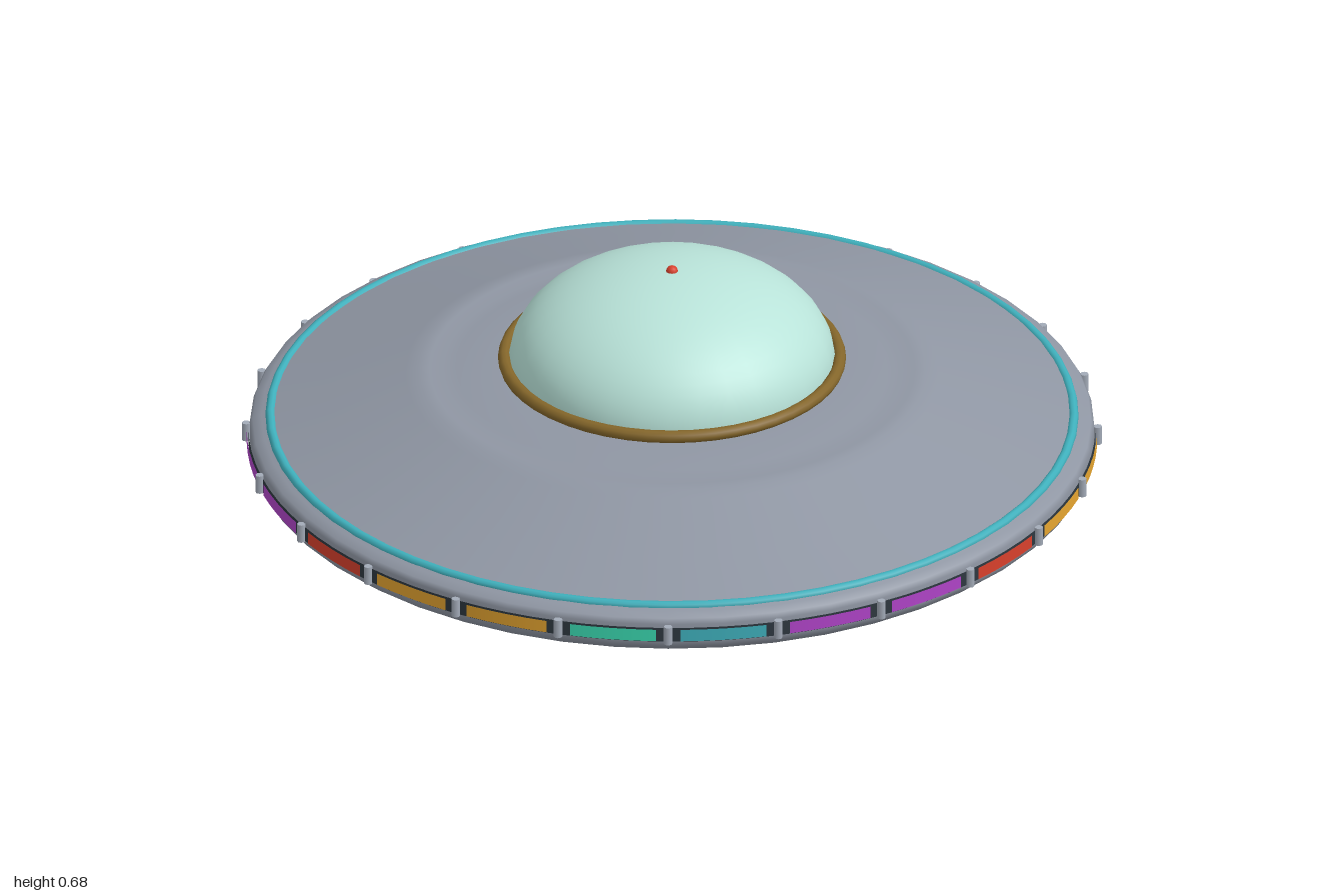
import * as THREE from 'three';

export function createModel() {
  const model = new THREE.Group();
  const paint = (name, color, side = THREE.FrontSide) =>
    Object.assign(new THREE.MeshStandardMaterial({ color, side }), { name });
  const hullGrey = paint('hull grey', 0x8f96a3);
  const metal = paint('light metal', 0xa3abb8);
  const mint = paint('mint dome', 0xb8e2d8);
  const bronze = paint('bronze', 0x84662a);
  const dark = paint('dark band', 0x2e3840);
  const red = paint('red', 0xd8402c);
  const orange = paint('orange', 0xe6a530);
  const green = paint('green', 0x3ad8b0);
  const cyan = paint('cyan', 0x3fb0bc);
  const purple = paint('purple', 0xb044c8);

  const add = (name, geometry, material, x = 0, y = 0, z = 0, parent = model) => {
    const mesh = new THREE.Mesh(geometry, material);
    mesh.name = name;
    mesh.position.set(x, y, z);
    parent.add(mesh);
    return mesh;
  };
  const lathe = (points, segments = 48) =>
    new THREE.LatheGeometry(points.map(([r, y]) => new THREE.Vector2(r, y)), segments);
  const ring = (radius, tube, segments = 48) =>
    new THREE.TorusGeometry(radius, tube, 10, segments).rotateX(Math.PI / 2);
  // angle in degrees, measured from +z towards +x
  const around = (deg, r) => {
    const a = THREE.MathUtils.degToRad(deg);
    return [r * Math.sin(a), r * Math.cos(a)];
  };

  // Saucer hull
  add('saucerHull', lathe([
    [0, 0.1], [0.3, 0.1], [0.48, 0.103], [0.62, 0.11], [0.74, 0.123], [0.84, 0.143],
    [0.91, 0.163], [0.955, 0.182], [0.975, 0.198], [0.982, 0.215], [0.982, 0.26],
    [0.975, 0.272], [0.955, 0.281], [0.93, 0.289], [0.8, 0.334], [0.62, 0.396],
    [0.59, 0.405], [0.565, 0.407], [0.535, 0.404], [0.5, 0.408], [0.4, 0.42], [0, 0.425],
  ]), hullGrey);
  add('topTrimRing', ring(0.934, 0.0115, 64), cyan, 0, 0.284);

  // Cockpit dome, collar and beacon
  const dome = add('cockpitDome',
    new THREE.SphereGeometry(0.38, 32, 16, 0, Math.PI * 2, 0, Math.PI / 2), mint, 0, 0.43);
  dome.scale.y = 0.235 / 0.38;
  add('domeCollar', ring(0.39, 0.015), bronze, 0, 0.437);
  add('beacon', new THREE.SphereGeometry(0.014, 12, 8), red, 0, 0.664);

  // Rim band with coloured windows between small posts
  add('rimBand', new THREE.CylinderGeometry(0.985, 0.985, 0.036, 96, 1, true), dark, 0, 0.235);
  const cycle = [red, orange, orange, green, cyan, purple, purple];
  const step = Math.PI / 12;
  for (let i = 0; i < 24; i++) {
    const start = Math.PI / 2 + (i + 0.11) * step;
    add('rimWindow', new THREE.CylinderGeometry(0.989, 0.989, 0.03, 4, 1, true, start, step * 0.78),
      cycle[i % 7], 0, 0.235);
    const [x, z] = around(i * 15, 0.99);
    add('rimPost', new THREE.CylinderGeometry(0.01, 0.01, 0.045, 8), metal, x, 0.237, z);
  }

  // Belly: flat skirt, rounded engine ring, inner ring and glowing lens
  add('bellySkirt', new THREE.CylinderGeometry(0.37, 0.37, 0.008, 48), cyan, 0, 0.099);
  add('engineRing', lathe([
    [0.19, 0.06], [0.215, 0.054], [0.25, 0.056], [0.275, 0.067], [0.285, 0.083], [0.28, 0.1],
  ]), cyan);
  add('lensRing', ring(0.203, 0.015), hullGrey, 0, 0.054);
  add('bellyLens', lathe([
    [0, 0.03], [0.07, 0.032], [0.13, 0.038], [0.175, 0.047], [0.195, 0.056],
  ], 40), green);

  // Underside lamps and rivets
  for (let i = 0; i < 12; i++) {
    const [lx, lz] = around(15 + i * 30, 0.68);
    add('undersideLamp', new THREE.SphereGeometry(0.025, 12, 8), orange, lx, 0.117, lz).scale.y = 0.5;
    const [rx, rz] = around(i * 30, 0.435);
    add('undersideRivet', new THREE.SphereGeometry(0.016, 10, 6), metal, rx, 0.103, rz).scale.y = 0.4;
  }

  // Three landing legs
  for (const deg of [60, 180, 300]) {
    const leg = new THREE.Group();
    leg.name = 'landingLeg';
    const [x, z] = around(deg, 0.58);
    leg.position.set(x, 0, z);
    model.add(leg);
    add('footPad', new THREE.CylinderGeometry(0.08, 0.085, 0.014, 24), metal, 0, 0.007, 0, leg);
    add('ankle', new THREE.CylinderGeometry(0.022, 0.03, 0.014, 16), metal, 0, 0.02, 0, leg);
    add('strut', new THREE.CylinderGeometry(0.015, 0.015, 0.1, 12), metal, 0, 0.065, 0, leg);
    add('hipCollar', new THREE.CylinderGeometry(0.03, 0.024, 0.014, 16), metal, 0, 0.104, 0, leg);
  }
  return model;
}
